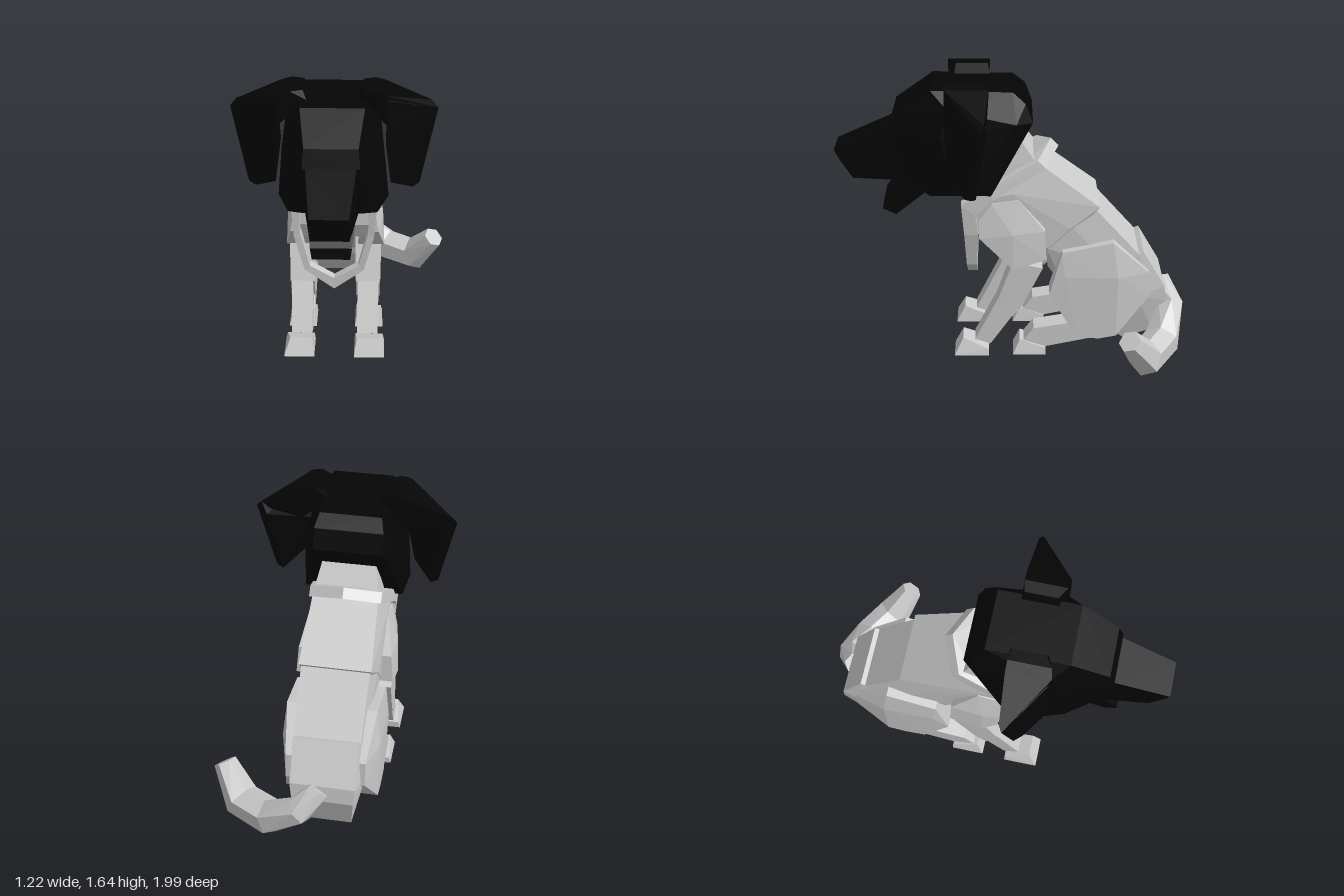
import * as THREE from 'three';
import { ConvexGeometry } from 'three/addons/geometries/ConvexGeometry.js';

const grey = new THREE.MeshStandardMaterial({ color: 0xcccccc, flatShading: true });
const black = new THREE.MeshStandardMaterial({ color: 0x050505, flatShading: true });

// Faceted solid around a handful of [x, y, z] points
function hull(name, points, material = grey) {
  const mesh = new THREE.Mesh(new ConvexGeometry(points.map(p => new THREE.Vector3(...p))), material);
  mesh.name = name;
  return mesh;
}

// Symmetric solid from a side profile of [z, y, halfWidth]
function block(name, profile, material) {
  return hull(name, profile.flatMap(([z, y, w]) => [[-w, y, z], [w, y, z]]), material);
}

// One-sided solid from a side profile of [z, y, innerX, outerX]
function limb(name, side, profile) {
  return hull(name, profile.flatMap(([z, y, a, b]) => [[side * a, y, z], [side * b, y, z]]));
}

// Chain of faceted segments along [x, y, z, radius] stations
function chain(name, stations, sides) {
  const pts = stations.map(([x, y, z]) => new THREE.Vector3(x, y, z));
  const rings = pts.map((p, i) => {
    const t = pts[Math.min(i + 1, pts.length - 1)].clone().sub(pts[Math.max(i - 1, 0)]).normalize();
    const u = new THREE.Vector3(0, 1, 0).cross(t).normalize();
    const v = t.clone().cross(u);
    return Array.from({ length: sides }, (_, k) => {
      const a = (k + 0.5) / sides * Math.PI * 2;
      return p.clone().addScaledVector(u, Math.cos(a) * stations[i][3])
        .addScaledVector(v, Math.sin(a) * stations[i][3]).toArray();
    });
  });
  return rings.slice(1).map((r, i) => hull(name, [...rings[i], ...r]));
}

export function createModel() {
  const model = new THREE.Group();
  model.name = 'sittingDog';

  // Torso
  model.add(
    block('neck', [[-0.04, 1.3, 0.15], [-0.13, 1.17, 0.18], [0.2, 1.15, 0.16], [0.25, 0.9, 0.19], [0.0, 0.95, 0.2]]),
    block('chest', [[-0.13, 1.18, 0.18], [-0.49, 0.91, 0.2], [-0.32, 0.78, 0.215], [0.0, 1.0, 0.22], [0.22, 0.95, 0.21],
      [0.22, 0.8, 0.2], [0.17, 0.7, 0.19], [-0.2, 0.66, 0.21], [-0.18, 0.53, 0.16]]),
    block('waist', [[-0.47, 0.89, 0.19], [-0.73, 0.6, 0.185], [-0.34, 0.785, 0.21], [-0.6, 0.5, 0.205],
      [-0.19, 0.66, 0.205], [-0.2, 0.52, 0.155], [-0.3, 0.38, 0.15], [-0.55, 0.3, 0.15]]),
    block('rump', [[-0.71, 0.6, 0.18], [-0.75, 0.62, 0.18], [-0.88, 0.4, 0.18], [-0.89, 0.3, 0.17], [-0.82, 0.1, 0.15],
      [-0.65, 0.04, 0.14], [-0.5, 0.16, 0.16], [-0.33, 0.37, 0.14], [-0.35, 0.31, 0.14], [-0.5, 0.45, 0.2],
      [-0.72, 0.35, 0.21]]),
  );

  // Head
  const head = new THREE.Group();
  head.name = 'head';
  head.add(
    block('skull', [[0.45, 1.59, 0.17], [0, 1.58, 0.17], [-0.07, 1.52, 0.19], [-0.11, 1.41, 0.19], [-0.02, 1.42, 0.25],
      [0.35, 1.5, 0.25], [0.4, 1.35, 0.27], [0.66, 1.45, 0.14], [0.69, 1.35, 0.15], [0.12, 1.015, 0.28],
      [0.31, 1.03, 0.3], [0.46, 1.0, 0.24], [0.6, 1.06, 0.16]], black),
    block('muzzle', [[0.62, 1.36, 0.13], [0.69, 1.35, 0.13], [1, 1.22, 0.1], [0.97, 1.16, 0.1], [0.9, 1.05, 0.1],
      [0.58, 1.05, 0.14]], black),
    block('lowerJaw', [[0.6, 1.07, 0.13], [0.45, 1.01, 0.13], [0.73, 0.92, 0.11], [0.74, 0.86, 0.1],
      [0.665, 0.825, 0.1]], black),
  );
  for (const s of [-1, 1]) {
    const mirror = pts => pts.map(([x, y, z]) => [s * x, y, z]);
    head.add(
      hull('earBase', mirror([[0.14, 1.587, 0.13], [0.14, 1.587, 0.33], [0.16, 1.64, 0.14], [0.16, 1.64, 0.32],
        [0.225, 1.645, 0.13], [0.225, 1.645, 0.36], [0.28, 1.63, 0.13], [0.28, 1.63, 0.37], [0.3, 1.45, 0.14],
        [0.3, 1.45, 0.37], [0.53, 1.526, 0.15], [0.563, 1.49, 0.17]]), black),
      hull('earFlap', mirror([[0.53, 1.526, 0.15], [0.563, 1.49, 0.17], [0.5, 1.45, 0.14], [0.29, 1.6, 0.37],
        [0.28, 1.36, 0.37], [0.28, 1.36, 0.3], [0.31, 1.13, 0.36], [0.32, 1.14, 0.31], [0.47, 1.07, 0.22],
        [0.43, 1.06, 0.2], [0.43, 1.06, 0.26]]), black),
    );
  }
  model.add(head);

  // Collar: plates joining sections, each given as outer [x, y, z], inner [x, y, z] and thickness [y, z]
  const collar = new THREE.Group();
  collar.name = 'collar';
  const sections = [
    [[0, 1.23, -0.237], [0, 1.17, -0.14], [0.022, 0.022]],
    [[0.2, 1.17, -0.16], [0.16, 1.14, -0.09], [0.022, 0.022]],
    [[0.24, 1.0, 0.13], [0.19, 1.0, 0.13], [0.03, 0.02]],
    [[0.238, 0.91, 0.25], [0.195, 0.92, 0.25], [0.03, 0.04]],
    [[0.224, 0.75, 0.235], [0.19, 0.77, 0.235], [0, 0.04]],
    [[0.167, 0.535, 0.235], [0.137, 0.56, 0.235], [0, 0.03]],
    [[0, 0.413, 0.235], [0, 0.48, 0.235], [0, 0.028]],
  ].map(([outer, inner, [ty, tz]]) => [outer, inner].flatMap(([x, y, z]) => [[x, y + ty, z + tz], [x, y - ty, z - tz]]));
  for (const s of [-1, 1]) {
    for (let i = 1; i < sections.length; i++) {
      collar.add(hull('collarStrip', [...sections[i - 1], ...sections[i]].map(([x, y, z]) => [s * x, y, z])));
    }
  }
  model.add(collar);

  // Legs
  for (const s of [-1, 1]) {
    const front = new THREE.Group();
    front.name = 'frontLeg';
    front.add(
      limb('shoulder', s, [[0.19, 0.85, 0.15, 0.23], [0.12, 0.94, 0.15, 0.225], [-0.03, 0.965, 0.15, 0.225],
        [-0.18, 0.79, 0.15, 0.265], [-0.19, 0.62, 0.14, 0.28], [0, 0.56, 0.13, 0.285], [0.19, 0.74, 0.15, 0.25],
        [0.0, 0.77, 0.15, 0.275]]),
      limb('upperFrontLeg', s, [[0.0, 0.6, 0.115, 0.267], [-0.17, 0.56, 0.115, 0.267], [0.085, 0.36, 0.12, 0.262],
        [0.02, 0.23, 0.12, 0.262], [-0.05, 0.31, 0.12, 0.262]]),
      limb('lowerFrontLeg', s, [[0.08, 0.37, 0.13, 0.255], [-0.04, 0.31, 0.13, 0.255], [0.22, 0.09, 0.13, 0.25],
        [0.13, 0.06, 0.13, 0.25]]),
      limb('frontPaw', s, [[0.34, 0, 0.115, 0.29], [0.14, 0, 0.115, 0.29], [0.14, 0.04, 0.12, 0.28],
        [0.29, 0.1, 0.13, 0.255]]),
    );
    const hind = new THREE.Group();
    hind.name = 'hindLeg';
    hind.add(
      limb('thigh', s, [[-0.28, 0.65, 0.14, 0.255], [-0.57, 0.71, 0.14, 0.25], [-0.78, 0.51, 0.14, 0.22],
        [-0.79, 0.36, 0.14, 0.22], [-0.6, 0.12, 0.14, 0.265], [-0.5, 0.1, 0.14, 0.265], [-0.37, 0.11, 0.14, 0.265],
        [-0.21, 0.39, 0.14, 0.265], [-0.6, 0.5, 0.15, 0.273], [-0.3, 0.5, 0.15, 0.27]]),
      limb('lowerHindLeg', s, [[-0.51, 0.18, 0.13, 0.25], [-0.51, 0.11, 0.13, 0.25], [-0.35, 0.2, 0.13, 0.25],
        [-0.37, 0.1, 0.13, 0.25], [-0.12, 0.16, 0.13, 0.25], [-0.19, 0.04, 0.13, 0.25], [-0.06, 0.08, 0.13, 0.25]]),
      limb('hindPaw', s, [[0, 0, 0.115, 0.28], [-0.19, 0, 0.115, 0.28], [-0.19, 0.04, 0.12, 0.27],
        [-0.04, 0.09, 0.13, 0.255]]),
    );
    model.add(front, hind);
  }

  // Tail, curling round to the left
  const tail = new THREE.Group();
  tail.name = 'tail';
  tail.add(...chain('tailSegment', [[0.02, 0.37, -0.86, 0.065], [0.12, 0.25, -0.925, 0.08], [0.3, 0.115, -0.865, 0.105],
    [0.49, 0.105, -0.75, 0.105], [0.605, 0.28, -0.645, 0.065]], 6));
  model.add(tail);

  // The tail sticks out to one side, so the body sits off-centre
  for (const part of model.children) part.position.x = -0.05;
  return model;
}
